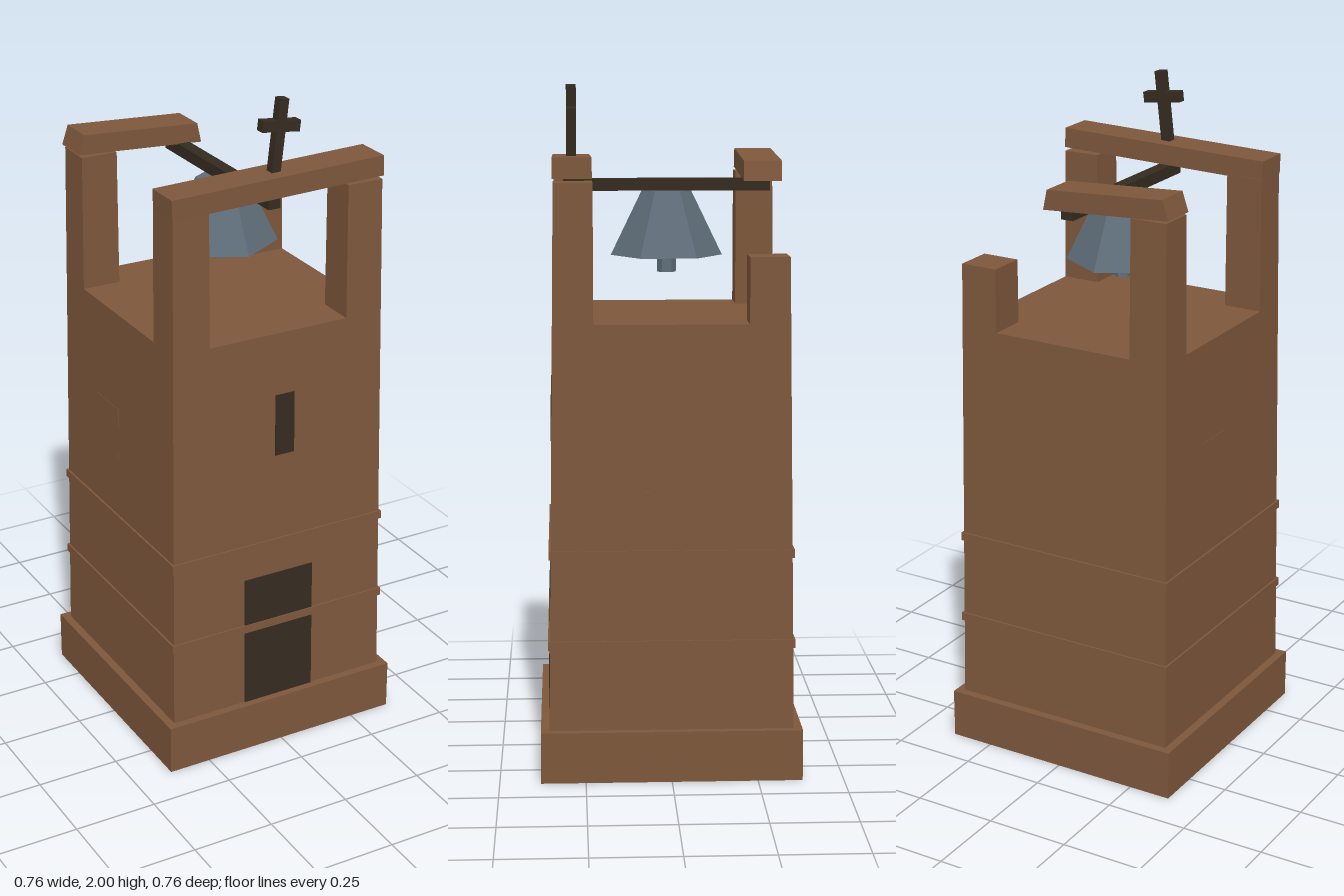
import * as THREE from 'three';

const make = (name, color) => {
  const m = new THREE.MeshStandardMaterial({ color });
  m.name = name;
  return m;
};

// Half-width of the tapering tower at height y
const wall = (y) => 0.355 - 0.0135 * (y - 0.15);

// Box from ranges; a coordinate of 1 + d means d outside the tapering wall
function taperBox(x, y, z) {
  const g = new THREE.BoxGeometry(1, 1, 1);
  const p = g.attributes.position;
  const place = (v, h) => (Math.abs(v) > 0.9 ? Math.sign(v) * (wall(h) + Math.abs(v) - 1) : v);
  for (let i = 0; i < p.count; i++) {
    const h = y[p.getY(i) > 0 ? 1 : 0];
    const a = x[p.getX(i) > 0 ? 1 : 0], b = z[p.getZ(i) > 0 ? 1 : 0];
    p.setXYZ(i, place(a, h), h, place(b, h));
  }
  g.computeVertexNormals();
  return g;
}

export function createModel() {
  const brick = make('brown brick', 0x7d573b);
  const wood = make('dark wood', 0x352b20);
  const metal = make('grey bell metal', 0x5f6d79);
  metal.flatShading = true;

  const tower = new THREE.Group();
  tower.name = 'bellTower';
  const add = (name, geometry, material, parent = tower) => {
    const m = new THREE.Mesh(geometry, material);
    m.name = name;
    parent.add(m);
    return m;
  };

  // Plinth, shaft and string courses
  add('plinth', taperBox([-0.38, 0.38], [0, 0.15], [-0.38, 0.38]), brick);
  add('shaft', taperBox([-1, 1], [0.15, 1.33], [-1, 1]), brick);
  for (const y of [0.39, 0.655])
    add('stringCourse', taperBox([-1.006, 1.006], [y, y + 0.025], [-1.006, 1.006]), brick);

  // Corner pillars, the back left one broken short
  for (const sx of [-1, 1]) for (const sz of [-1, 1]) {
    const top = sz > 0 ? 1.73 : sx > 0 ? 1.52 : 1.735;
    const range = (s) => (s > 0 ? [0.222, 1] : [-1, -0.222]);
    add('pillar', taperBox(range(sx), [1.33, top], range(sz)), brick);
  }

  // Door and slit window on the front, shallow blocked windows on the sides
  add('door', taperBox([-0.115, 0.115], [0.15, 0.565], [0.999, 1.003]), wood);
  add('slitWindow', taperBox([-0.012, 0.05], [0.95, 1.14], [0.999, 1.003]), wood);
  add('blockedWindow', taperBox([-1.001, -0.999], [0.87, 1.03], [-0.14, 0]), brick);
  add('blockedWindow', taperBox([0.999, 1.001], [0.7, 0.85], [-0.03, 0.13]), brick);

  // Front lintel, slightly askew
  const lintel = add('frontLintel', new THREE.BoxGeometry(0.672, 0.06, 0.112), brick);
  lintel.position.set(0, 1.762, 0.28);
  lintel.rotation.z = 0.025;

  // Broken back lintel with slanted ends
  const broken = add('brokenLintel', taperBox([-0.2, 0.2], [-0.029, 0.029], [-0.056, 0.056]), brick);
  const bp = broken.geometry.attributes.position;
  for (let i = 0; i < bp.count; i++) if (bp.getY(i) > 0) bp.setX(i, bp.getX(i) * 0.92);
  broken.geometry.computeVertexNormals();
  broken.position.set(-0.14, 1.761, -0.281);
  broken.rotation.z = -0.06;

  // Bell, clapper and hanging beam
  const bell = new THREE.Group();
  bell.name = 'bell';
  tower.add(bell);
  add('bellBody', new THREE.CylinderGeometry(0.073, 0.165, 0.19, 6), metal, bell).position.y = 1.595;
  add('clapper', new THREE.CylinderGeometry(0.028, 0.028, 0.06, 6), metal, bell).position.y = 1.48;
  add('hangingBeam', new THREE.BoxGeometry(0.038, 0.036, 0.61), wood, bell).position.y = 1.708;

  // Leaning cross on the front lintel
  const cross = new THREE.Group();
  cross.name = 'cross';
  cross.position.set(0.022, 1.885, 0.28);
  cross.rotation.z = -0.12;
  tower.add(cross);
  add('crossPost', new THREE.BoxGeometry(0.028, 0.228, 0.029), wood, cross);
  add('crossArm', new THREE.BoxGeometry(0.12, 0.032, 0.029), wood, cross).position.y = 0.037;

  return tower;
}
